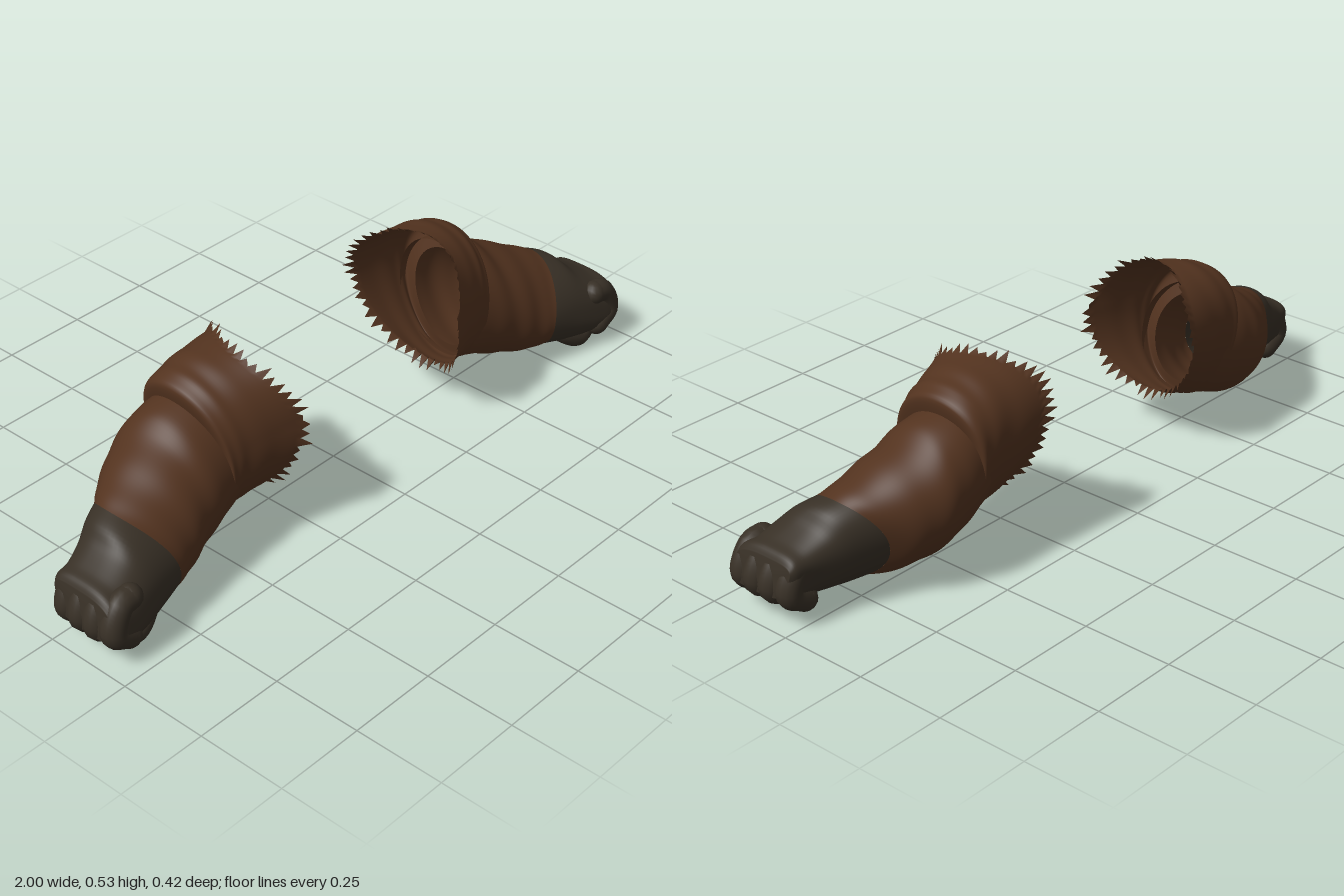
import * as THREE from 'three';

const sleeveMat = new THREE.MeshStandardMaterial({ color: 0x53331f, side: THREE.DoubleSide });
sleeveMat.name = 'brown cloth';
const gloveMat = new THREE.MeshStandardMaterial({ color: 0x383026, side: THREE.DoubleSide });
gloveMat.name = 'dark glove';

// Small seeded random generator
function seeded(seed) {
  return () => (seed = (seed * 16807) % 2147483647) / 2147483647;
}

// Cross-sections: [topX, topY, bottomX, bottomY, frontZ, backZ, sidePull]
const upperSections = [
  [0.36, 0.52, 0.365, 0.14, 0.17, -0.19, -0.065],
  [0.41, 0.512, 0.40, 0.12, 0.145, -0.187, -0.03],
  [0.46, 0.50, 0.44, 0.108, 0.128, -0.182, -0.012],
  [0.50, 0.485, 0.465, 0.10, 0.12, -0.18, -0.01],
  [0.53, 0.46, 0.475, 0.096, 0.115, -0.176, -0.01],
  [0.515, 0.39, 0.47, 0.13, 0.08, -0.135, -0.01],
];
const forearmSections = [
  [0.47, 0.435, 0.45, 0.11, 0.11, -0.168, 0],
  [0.56, 0.415, 0.50, 0.09, 0.123, -0.18, 0],
  [0.62, 0.378, 0.57, 0.063, 0.135, -0.18, 0],
  [0.70, 0.337, 0.64, 0.045, 0.15, -0.157, -0.015],
  [0.77, 0.303, 0.70, 0.036, 0.16, -0.122, -0.03],
  [0.81, 0.285, 0.74, 0.04, 0.168, -0.09, -0.04],
];
const handSections = [
  [0.81, 0.285, 0.74, 0.04, 0.168, -0.09, -0.04],
  [0.85, 0.268, 0.79, 0.036, 0.18, -0.062, -0.02],
  [0.88, 0.235, 0.84, 0.038, 0.192, -0.035, 0],
  [0.93, 0.207, 0.89, 0.043, 0.2, -0.015, 0],
  [0.962, 0.196, 0.955, 0.052, 0.204, -0.008, 0],
  [0.975, 0.178, 0.988, 0.08, 0.19, 0.004, 0],
];

// Smooth loft through the sections, with optional wrinkles, ragged hem and end cap
function loft(sections, { rows, cols = 96, wrinkle = 0, hem = 0, cap = false, egg = 0, square = 0 }) {
  const column = (k, t) => {
    const s = t * (sections.length - 1), i = Math.min(Math.floor(s), sections.length - 2), f = s - i;
    const at = n => sections[Math.max(0, Math.min(sections.length - 1, n))][k];
    const p0 = at(i - 1), p1 = at(i), p2 = at(i + 1), p3 = at(i + 2);
    return p1 + 0.5 * f * (p2 - p0 + f * (2 * p0 - 5 * p1 + 4 * p2 - p3 + f * (3 * (p1 - p2) + p3 - p0)));
  };
  const round = (v, t) => Math.sign(v) * Math.abs(v) ** (1 - square * t);
  const pos = [], index = [];
  for (let i = 0; i <= rows; i++) {
    const t = i / rows;
    const [tx, ty, bx, by, zf, zb, pull] = sections[0].map((_, k) => column(k, t));
    for (let j = 0; j < cols; j++) {
      const a = (j / cols) * Math.PI * 2, s = Math.sin(a), c = Math.cos(a);
      const fold = 1 + wrinkle * Math.sin(Math.PI * t) *
        (Math.sin(t * 22 + 2 * s + 1.5 * c) + 0.6 * Math.sin(3 * a + t * 9));
      const u = (round(c, t) + egg * s * s) * fold, w = round(s, t) * fold;
      // The opening is cut back at the upper front and reaches in at the upper back
      const cut = 2 * hem * (1 - t) ** 2 * s * Math.max(c, 0);
      pos.push(
        (tx + bx) / 2 + u * (tx - bx) / 2 + pull * s * s + cut,
        (ty + by) / 2 + u * (ty - by) / 2,
        (zf + zb) / 2 + w * (zf - zb) / 2 - 0.025 * c);
    }
  }
  // Ragged hem: alternate points of the first ring are pulled out into tips
  if (hem) {
    const rnd = seeded(71);
    for (let j = 0; j < cols; j++) {
      const r = rnd(), a = (j / cols) * Math.PI * 2;
      const len = j % 2 ? hem * (0.2 + 0.9 * r) : -hem * 0.3 * r;
      pos[j * 3] -= len * 0.8;
      pos[j * 3 + 1] += len * 0.7 * Math.cos(a);
      pos[j * 3 + 2] += len * 0.55 * Math.sin(a) + (j % 2 ? 0.012 * (r - 0.5) : 0);
    }
  }
  for (let i = 0; i < rows; i++) for (let j = 0; j < cols; j++) {
    const a = i * cols + j, b = i * cols + (j + 1) % cols;
    index.push(a, b, a + cols, b, b + cols, a + cols);
  }
  if (cap) {
    const [tx, ty, bx, by, zf, zb] = sections.at(-1), n = pos.length / 3;
    pos.push((tx + bx) / 2 + 0.006, (ty + by) / 2, (zf + zb) / 2);
    for (let j = 0; j < cols; j++) index.push(rows * cols + j, rows * cols + (j + 1) % cols, n);
  }
  const geo = new THREE.BufferGeometry();
  geo.setAttribute('position', new THREE.Float32BufferAttribute(pos, 3));
  geo.setIndex(index);
  geo.computeVertexNormals();
  return geo;
}

// Mirror a geometry across x and turn its faces back outward
function mirrored(geo) {
  const g = geo.clone().scale(-1, 1, 1), ix = g.index.array;
  for (let i = 0; i < ix.length; i += 3) [ix[i], ix[i + 1]] = [ix[i + 1], ix[i]];
  return g;
}

// Bent finger: a tube with rounded ends
function fingerParts(points, radius) {
  const pts = points.map(p => new THREE.Vector3(...p));
  const ball = p => new THREE.SphereGeometry(radius, 14, 10).translate(p.x, p.y, p.z);
  return [new THREE.TubeGeometry(new THREE.CatmullRomCurve3(pts), 18, radius, 14, false),
    ball(pts[0]), ball(pts.at(-1))];
}

export function createModel() {
  const model = new THREE.Group();
  model.name = 'sleevedArms';
  const parts = [
    ['upperSleeve', loft(upperSections, { rows: 30, wrinkle: 0.008, hem: 0.032, egg: 0.12 }), sleeveMat],
    ['forearmSleeve', loft(forearmSections, { rows: 36, wrinkle: 0.011 }), sleeveMat],
    ['gloveHand', loft(handSections, { rows: 25, cols: 64, cap: true, square: 0.45 }), gloveMat],
  ];
  // Four curled fingers set shallowly into the fist
  [0.022, 0.075, 0.127, 0.178].forEach((z, i) => {
    const d = [-0.005, 0.001, 0.001, -0.005][i];
    fingerParts([[0.90, 0.168, z - 0.006], [0.938 + d, 0.161, z - 0.004], [0.965 + d, 0.095, z],
      [0.915, 0.064, z]], 0.034)
      .forEach(g => parts.push(['finger' + (i + 1), g, gloveMat]));
  });
  // Thumb folded under the fist
  fingerParts([[0.79, 0.085, 0.115], [0.83, 0.05, 0.14], [0.87, 0.032, 0.15], [0.92, 0.055, 0.14]], 0.031)
    .forEach(g => parts.push(['thumb', g, gloveMat]));

  for (const side of ['left', 'right']) {
    const arm = new THREE.Group();
    arm.name = side + 'Arm';
    for (const [name, geo, mat] of parts) {
      const mesh = new THREE.Mesh(side === 'left' ? geo : mirrored(geo), mat);
      mesh.name = name;
      arm.add(mesh);
    }
    model.add(arm);
  }
  return model;
}
